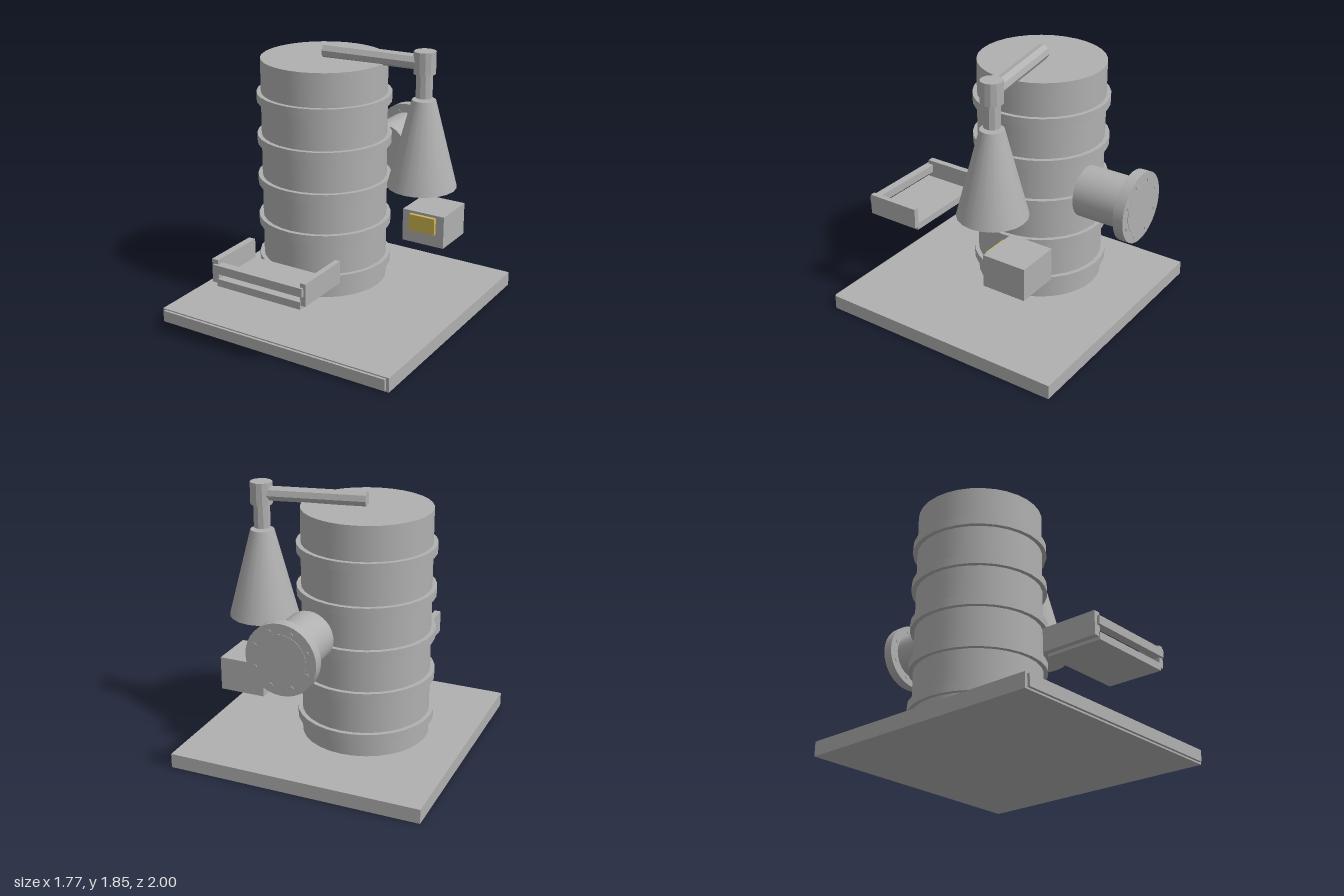
import * as THREE from 'three';

export function createModel() {
  const model = new THREE.Group();
  model.name = 'barrelStation';
  const metal = new THREE.MeshStandardMaterial({ color: 0xb0b0b0 });
  metal.name = 'grey metal';
  const amber = new THREE.MeshStandardMaterial({ color: 0xcfb552 });
  amber.name = 'amber panel';

  const add = (name, geometry, x, y, z, parent = model, material = metal) => {
    const mesh = new THREE.Mesh(geometry, material);
    mesh.name = name;
    mesh.position.set(x, y, z);
    parent.add(mesh);
    return mesh;
  };
  const group = (name) => {
    const g = new THREE.Group();
    g.name = name;
    model.add(g);
    return g;
  };
  // Box given by its minimum and maximum corners
  const box = (name, a, b, parent, material) => add(name,
    new THREE.BoxGeometry(b[0] - a[0], b[1] - a[1], b[2] - a[2]),
    (a[0] + b[0]) / 2, (a[1] + b[1]) / 2, (a[2] + b[2]) / 2, parent, material);
  // Faceted cylinder with hard edges between its sides
  const faceted = (r, h, sides) => {
    const g = new THREE.CylinderGeometry(r, r, h, sides).toNonIndexed();
    g.computeVertexNormals();
    return g;
  };

  // Floor slab with a front trim strip
  box('baseSlab', [-0.885, 0, -0.89], [0.885, 0.1, 0.88]);
  box('baseFrontTrim', [-0.865, 0.012, 0.87], [0.865, 0.092, 0.898]);

  // Barrel with five hoops
  const barrel = group('barrel');
  barrel.position.set(-0.2, 0, -0.105);
  add('barrelBody', new THREE.CylinderGeometry(0.432, 0.432, 1.58, 32), 0, 0.95, 0, barrel);
  for (let i = 0; i < 5; i++) {
    add('barrelHoop', new THREE.CylinderGeometry(0.462, 0.462, 0.06, 32), 0, 0.302 + i * 0.294, 0, barrel);
  }

  // Overhead arm from the barrel centre to the hood joint
  const start = new THREE.Vector3(-0.2, 1.785, -0.108);
  const end = new THREE.Vector3(0.508, 1.772, -0.205);
  const along = end.clone().sub(start);
  const mid = start.clone().lerp(end, 0.5);
  const arm = add('arm', faceted(0.052, along.length(), 8), mid.x, mid.y, mid.z);
  arm.quaternion.setFromUnitVectors(new THREE.Vector3(0, 1, 0), along.normalize());

  // Joint, drop pipe and conical hood
  add('armJoint', faceted(0.074, 0.15, 12), 0.508, 1.775, -0.205);
  add('dropPipe', faceted(0.056, 0.18, 10), 0.508, 1.63, -0.205);
  add('hood', new THREE.CylinderGeometry(0.08, 0.236, 0.6, 20), 0.508, 1.225, -0.205);

  // Control box with a coloured panel
  box('controlBox', [0.35, 0.48, -0.555], [0.665, 0.71, -0.24]);
  box('controlPanel', [0.41, 0.573, -0.242], [0.605, 0.692, -0.215], model, amber);

  // Rear port: pipe, flange and a ring of bolts
  const port = group('rearPort');
  port.position.set(-0.003, 0.99, 0);
  const disc = (name, r, z0, z1, sides, x = 0, y = 0) => {
    const m = add(name, new THREE.CylinderGeometry(r, r, z1 - z0, sides), x, y, (z0 + z1) / 2, port);
    m.rotation.x = Math.PI / 2;
  };
  disc('portPipe', 0.172, -0.998, -0.59, 32);
  disc('portFlange', 0.238, -0.995, -0.925, 32);
  for (let i = 0; i < 8; i++) {
    const a = (i + 0.5) * Math.PI / 4;
    disc('flangeBolt', 0.016, -1, -0.92, 8, Math.cos(a) * 0.19, Math.sin(a) * 0.19);
  }

  // Front tray: two side plates, a floor and a rail
  const tray = group('frontTray');
  box('traySideRight', [-0.36, 0.475, 0.58], [-0.312, 0.635, 0.98], tray);
  box('traySideLeft', [0.312, 0.482, 0.58], [0.35, 0.632, 0.98], tray);
  box('trayFloor', [-0.32, 0.455, 0.585], [0.315, 0.505, 0.986], tray);
  box('trayRail', [-0.337, 0.547, 0.94], [0.335, 0.605, 0.998], tray);

  return model;
}
